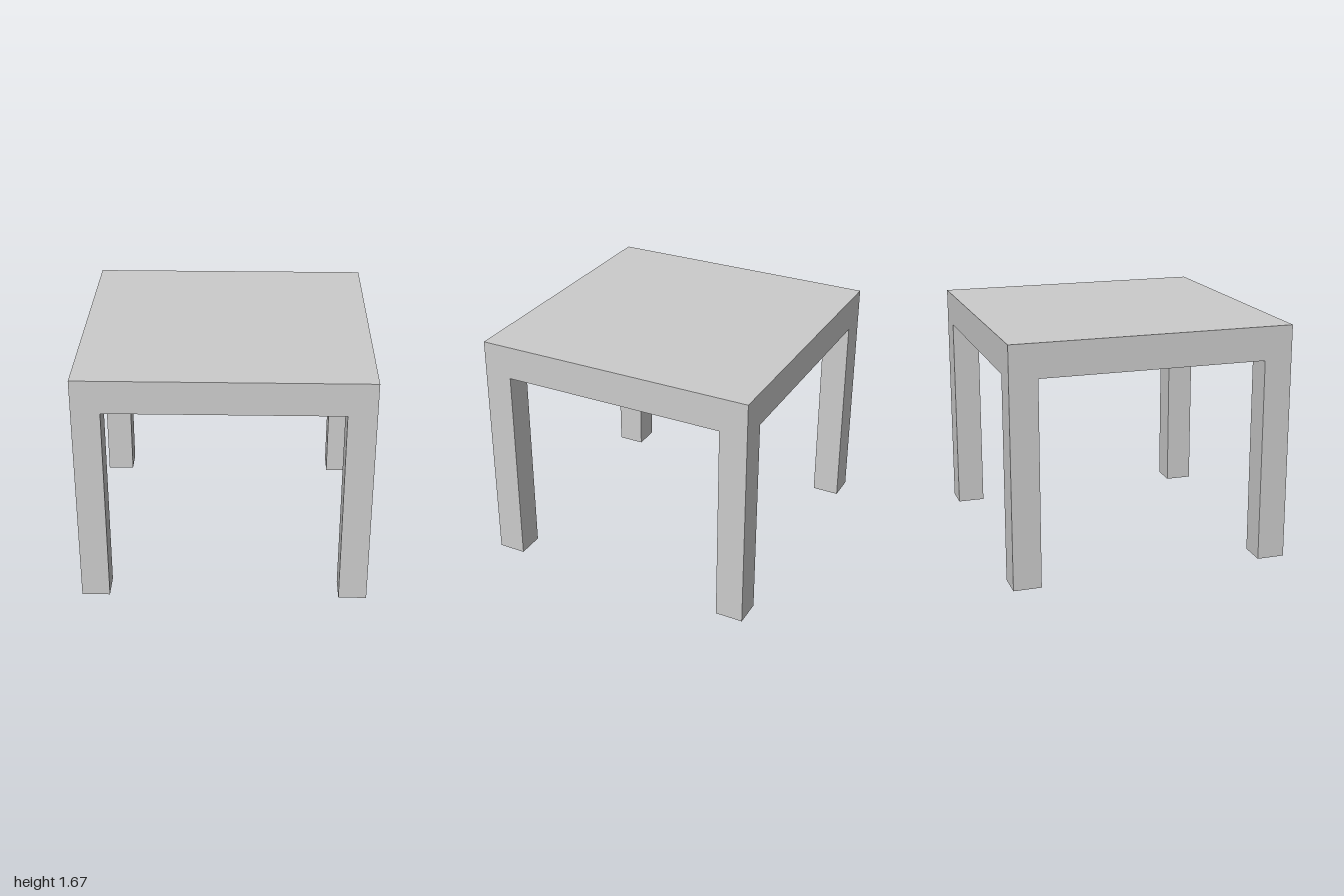
import * as THREE from 'three';

const WIDTH = 2, DEPTH = 1.97, HEIGHT = 1.675;
const TOP_THICKNESS = 0.235, LEG = 0.195;

export function createModel() {
  const table = new THREE.Group();
  table.name = 'table';
  const material = new THREE.MeshStandardMaterial({ color: 0xcccccc, flatShading: true });

  const addBox = (name, size, position) => {
    const mesh = new THREE.Mesh(new THREE.BoxGeometry(...size), material);
    mesh.name = name;
    mesh.position.set(...position);
    table.add(mesh);
  };

  // Thick square top
  addBox('tableTop', [WIDTH, TOP_THICKNESS, DEPTH], [0, HEIGHT - TOP_THICKNESS / 2, 0]);

  // Four square legs, flush with the corners
  const legHeight = HEIGHT - TOP_THICKNESS;
  for (const [xName, sx] of [['Left', 1], ['Right', -1]]) {
    for (const [zName, sz] of [['front', 1], ['back', -1]]) {
      addBox(`${zName}${xName}Leg`, [LEG, legHeight, LEG],
        [sx * (WIDTH - LEG) / 2, legHeight / 2, sz * (DEPTH - LEG) / 2]);
    }
  }
  return table;
}
